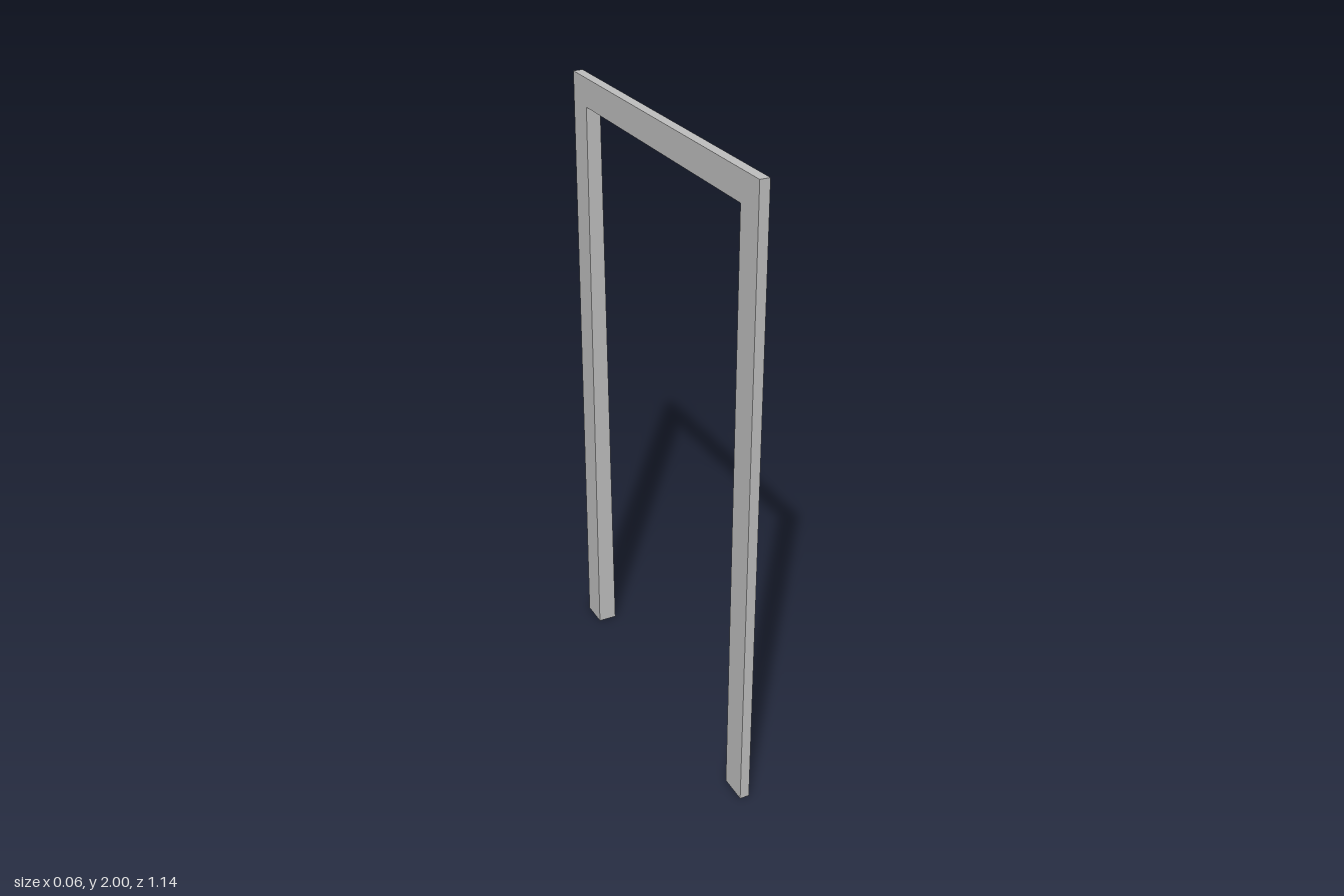
import * as THREE from 'three';

const BACK = -0.031;    // flat rear plane of the frame
const OUTER = 0.57;     // half width of the frame
const INNER = 0.478;    // half width of the opening
const TOP = 2, LINTEL = 1.91;

// Four-cornered section: outer back, outer front, raised inner lip, inner back
function section(side, outerY, innerY, lip) {
  return [
    [BACK, outerY, side * OUTER],
    [0, outerY, side * OUTER],
    [lip, innerY, side * INNER],
    [BACK, innerY, side * INNER],
  ];
}

// Straight member between two sections, with optional end caps
function member(name, a, b, material, capStart, capEnd) {
  const positions = [];
  const quad = (p, q, r, s) => positions.push(...p, ...q, ...r, ...p, ...r, ...s);
  for (let i = 0; i < 4; i++) {
    const j = (i + 1) % 4;
    quad(a[i], a[j], b[j], b[i]);
  }
  if (capStart) quad(a[3], a[2], a[1], a[0]);
  if (capEnd) quad(b[0], b[1], b[2], b[3]);
  const geometry = new THREE.BufferGeometry();
  geometry.setAttribute('position', new THREE.Float32BufferAttribute(positions, 3));
  geometry.computeVertexNormals();
  const mesh = new THREE.Mesh(geometry, material);
  mesh.name = name;
  return mesh;
}

export function createModel() {
  const group = new THREE.Group();
  group.name = 'doorFrame';
  const grey = new THREE.MeshStandardMaterial({ color: 0xc0c0c0 });
  grey.name = 'light grey';

  // Feet flare out a little more than the mitred top corners
  const frontFoot = section(1, 0, 0, 0.026);
  const frontCorner = section(1, TOP, LINTEL, 0.015);
  const backCorner = section(-1, TOP, LINTEL, 0.015);
  const backFoot = section(-1, 0, 0, 0.031);

  group.add(
    member('frontJamb', frontFoot, frontCorner, grey, true, false),
    member('header', frontCorner, backCorner, grey, false, false),
    member('backJamb', backCorner, backFoot, grey, false, true),
  );
  return group;
}
